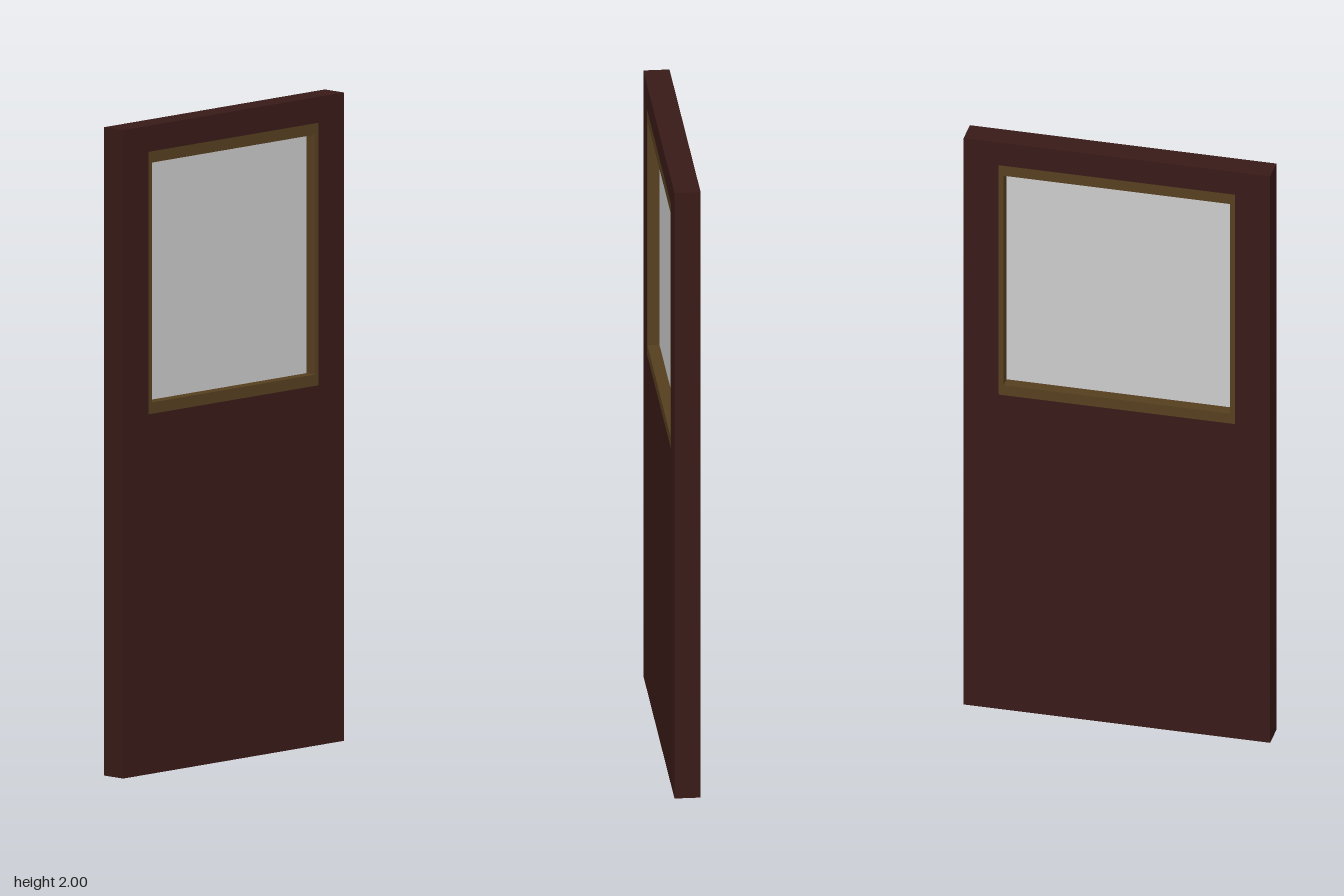
import * as THREE from 'three';

const DEPTH = 0.08;

// Rectangle corners from its half width and its bottom and top
const corners = (w, y0, y1) => [[-w, y0], [w, y0], [w, y1], [-w, y1]].map(([x, y]) => new THREE.Vector2(x, y));

// Upright slab with a rectangular opening, lying in the z-y plane
function panel(name, outer, inner, color) {
  const shape = new THREE.Shape(corners(...outer));
  shape.holes.push(new THREE.Path(corners(...inner)));
  const geo = new THREE.ExtrudeGeometry(shape, { depth: DEPTH, bevelEnabled: false });
  geo.translate(0, 0, -DEPTH / 2).rotateY(Math.PI / 2);
  const mesh = new THREE.Mesh(geo, new THREE.MeshStandardMaterial({ color }));
  mesh.name = name;
  return mesh;
}

export function createModel() {
  const group = new THREE.Group();
  group.name = 'door';

  const opening = [0.37, 1.11, 1.92];
  const glazed = [0.355, 1.145, 1.885];

  // Door leaf with the window opening
  group.add(panel('doorLeaf', [0.48, 0, 2], opening, 0x381a17));

  // Window frame, flush with both faces
  group.add(panel('windowFrame', opening, glazed, 0x563f1f));

  // Thin pane in the middle of the frame
  const [w, y0, y1] = glazed;
  const pane = new THREE.Mesh(
    new THREE.BoxGeometry(0.006, y1 - y0, 2 * w),
    new THREE.MeshStandardMaterial({ color: 0xcccccc })
  );
  pane.name = 'windowPane';
  pane.position.y = (y0 + y1) / 2;
  group.add(pane);

  return group;
}
